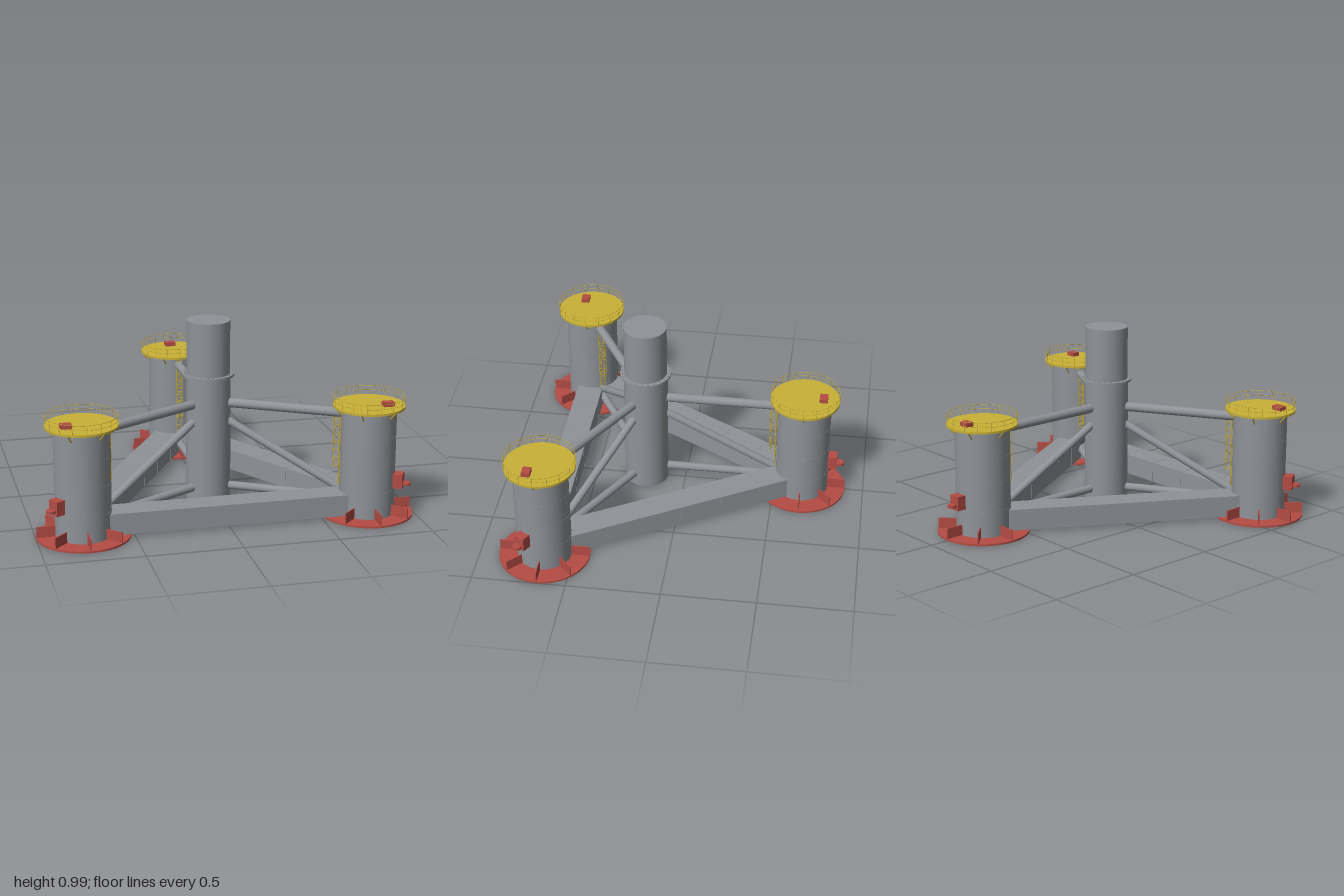
import * as THREE from 'three';

const steel = new THREE.MeshStandardMaterial({ color: 0x8f9398 });
steel.name = 'steel grey';
const yellow = new THREE.MeshStandardMaterial({ color: 0xc9b136 });
yellow.name = 'deck yellow';
const red = new THREE.MeshStandardMaterial({ color: 0xb44c44 });
red.name = 'hull red';

const R = 0.8735;      // tower axis to column axis
const COL = 0.145;     // column radius
const TOWER_Z = R / 4; // keeps the footprint centred
const DECK_Y = 0.597;

function add(parent, name, geometry, material, x = 0, y = 0, z = 0) {
  const m = new THREE.Mesh(geometry, material);
  m.name = name;
  m.position.set(x, y, z);
  parent.add(m);
  return m;
}

// Upright cylinder between two heights
function drum(parent, name, r, y0, y1, material, x = 0, z = 0, sides = 48) {
  return add(parent, name, new THREE.CylinderGeometry(r, r, y1 - y0, sides), material, x, (y0 + y1) / 2, z);
}

// Straight tube between two points
function rod(parent, name, a, b, r, material, sides = 24) {
  const p = new THREE.Vector3(...a), q = new THREE.Vector3(...b);
  const m = add(parent, name, new THREE.CylinderGeometry(r, r, p.distanceTo(q), sides), material);
  m.position.copy(p).add(q).multiplyScalar(0.5);
  m.quaternion.setFromUnitVectors(new THREE.Vector3(0, 1, 0), q.sub(p).normalize());
  return m;
}

// Horizontal thin ring
function hoop(parent, name, r, tube, y, material, x = 0, z = 0, sides = 48) {
  const m = add(parent, name, new THREE.TorusGeometry(r, tube, 5, sides), material, x, y, z);
  m.rotation.x = Math.PI / 2;
  return m;
}

// Flat heave plate with a hole for the column
function plateGeometry() {
  const s = new THREE.Shape().absarc(0, 0, 0.243, 0, Math.PI * 2);
  s.holes.push(new THREE.Path().absarc(0, 0, COL - 0.001, 0, Math.PI * 2, true));
  return new THREE.ExtrudeGeometry(s, { depth: 0.01, bevelEnabled: false, curveSegments: 32 }).rotateX(-Math.PI / 2);
}

// Column with its base, deck and railing, in world-aligned axes
function buildColumn(phi) {
  const g = new THREE.Group();
  g.name = 'column';
  drum(g, 'columnShell', COL, 0, 0.59, steel);
  for (const y of [0.145, 0.295, 0.435]) drum(g, 'weldBand', COL + 0.001, y - 0.002, y + 0.002, steel);
  add(g, 'heavePlate', plateGeometry(), red);

  // Stiffener fins, left out where the pontoons arrive
  for (let i = 0; i < 8; i++) {
    const a = i * Math.PI / 4;
    const blocked = [-1, 1].some(s => Math.cos(a - (phi + Math.PI + s * Math.PI / 6)) > Math.cos(0.35));
    if (blocked) continue;
    const fin = add(g, 'plateFin', new THREE.BoxGeometry(0.006, 0.06, 0.1), red);
    fin.position.set(Math.sin(a) * 0.191, 0.037, Math.cos(a) * 0.191);
    fin.rotation.y = a;
  }

  // Deck and its brackets
  drum(g, 'deck', 0.188, 0.585, DECK_Y, yellow);
  for (let i = 0; i < 6; i++) {
    const a = i * Math.PI / 3, c = Math.cos(a), s = Math.sin(a);
    rod(g, 'deckBracket', [c * 0.143, 0.545, s * 0.143], [c * 0.184, 0.587, s * 0.184], 0.004, yellow, 6);
  }
  // Railing
  for (let i = 0; i < 16; i++) {
    const a = i * Math.PI / 8, x = Math.cos(a) * 0.186, z = Math.sin(a) * 0.186;
    drum(g, 'railPost', 0.0014, DECK_Y, 0.645, yellow, x, z, 5);
  }
  hoop(g, 'topRail', 0.186, 0.0014, 0.645, yellow);
  hoop(g, 'midRail', 0.186, 0.0012, 0.621, yellow);
  add(g, 'deckCabinet', new THREE.BoxGeometry(0.058, 0.022, 0.045), red,
    Math.sin(phi) * 0.1, DECK_Y + 0.011, Math.cos(phi) * 0.1);

  // Parts facing away from or towards the tower (local +z is outward)
  const radial = new THREE.Group();
  radial.name = 'radialFittings';
  radial.rotation.y = phi;
  g.add(radial);
  add(radial, 'mooringBox', new THREE.BoxGeometry(0.064, 0.076, 0.052), red, 0, 0.197, 0.166);
  drum(radial, 'mooringSheave', 0.024, 0.176, 0.19, red, 0, 0.207, 24);

  // Caged ladder
  for (const x of [-0.015, 0.015]) drum(radial, 'ladderRail', 0.0025, 0.13, 0.59, yellow, x, -0.152, 6);
  for (let y = 0.145; y < 0.58; y += 0.02) {
    rod(radial, 'ladderRung', [-0.015, y, -0.152], [0.015, y, -0.152], 0.0015, yellow, 5);
  }
  for (let i = 0; i < 7; i++) hoop(radial, 'cageHoop', 0.019, 0.0012, 0.24 + i * 0.045, yellow, 0, -0.169, 20);
  for (const a of [-0.9, 0, 0.9]) {
    drum(radial, 'cageBar', 0.0012, 0.24, 0.51, yellow, Math.sin(a) * 0.019, -0.169 + Math.cos(a) * -0.019, 5);
  }
  return g;
}

export function createModel() {
  const model = new THREE.Group();
  model.name = 'floatingFoundation';
  const hub = new THREE.Group();
  hub.name = 'structure';
  hub.position.z = TOWER_Z;
  model.add(hub);

  // Central tower with bolted flange
  drum(hub, 'towerBase', 0.12, 0, 0.685, steel);
  drum(hub, 'towerFlange', 0.139, 0.685, 0.697, steel);
  drum(hub, 'towerTop', 0.116, 0.697, 0.987, steel);
  for (let i = 0; i < 24; i++) {
    const a = i * Math.PI / 12;
    drum(hub, 'flangeBolt', 0.004, 0.681, 0.702, steel, Math.cos(a) * 0.129, Math.sin(a) * 0.129, 6);
  }

  for (const phi of [Math.PI / 3, -Math.PI / 3, Math.PI]) {
    const column = buildColumn(phi);
    column.position.set(Math.sin(phi) * R, 0, Math.cos(phi) * R);
    hub.add(column);

    // Braces from tower to column
    const arm = new THREE.Group();
    arm.name = 'braces';
    arm.rotation.y = phi;
    hub.add(arm);
    rod(arm, 'upperBrace', [0, 0.54, 0.09], [0, 0.54, R - 0.12], 0.025, steel);
    rod(arm, 'diagonalBrace', [0, 0.447, 0.1], [0, 0.114, R - 0.13], 0.021, steel);
    rod(arm, 'lowerBrace', [0, 0.075, 0.09], [0, 0.075, R - 0.12], 0.022, steel);

    // Pontoon on the side opposite this column, with plate seams
    const side = new THREE.Group();
    side.name = 'pontoon';
    side.rotation.y = phi;
    side.position.set(-Math.sin(phi) * R / 2, 0.073, -Math.cos(phi) * R / 2);
    hub.add(side);
    const span = R * Math.sqrt(3);
    add(side, 'pontoonBeam', new THREE.BoxGeometry(span - 0.24, 0.114, 0.146), steel);
    for (let i = -2; i <= 2; i++) {
      add(side, 'pontoonSeam', new THREE.BoxGeometry(0.004, 0.116, 0.148), steel, i * 0.23, 0, 0);
    }
  }
  return model;
}
